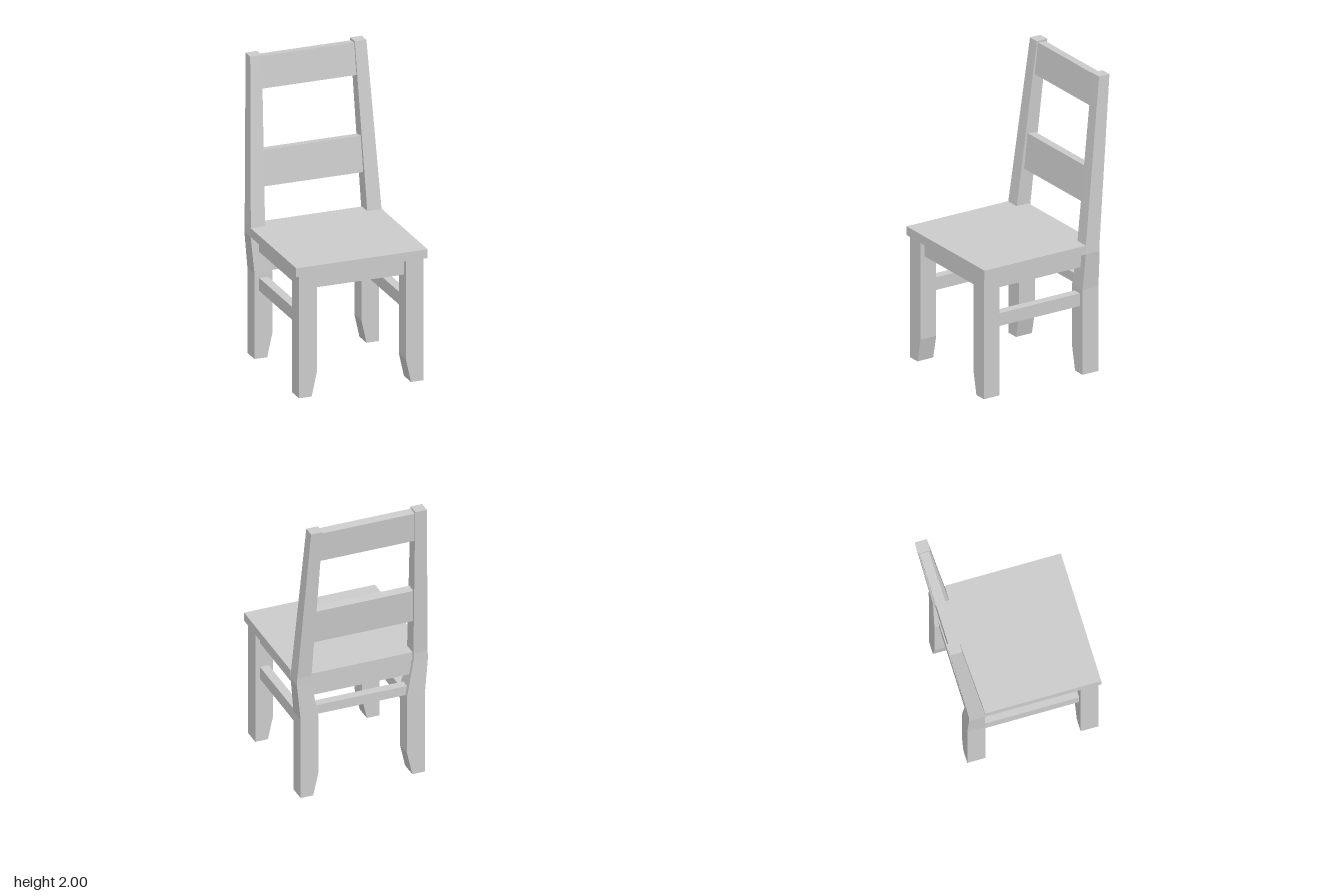
import * as THREE from 'three';

const material = new THREE.MeshStandardMaterial({ color: 0xcccccc, flatShading: true, side: THREE.DoubleSide });

// Four-sided post lofted through sections [y, innerX, outerX, backZ, frontZ]; side is +1 or -1
function postGeometry(sections, side) {
  const corners = sections.map(([y, xi, xo, zb, zf]) => {
    const x0 = side > 0 ? xi : -xo, x1 = side > 0 ? xo : -xi;
    return [[x0, y, zf], [x1, y, zf], [x1, y, zb], [x0, y, zb]];
  });
  const pos = [];
  const quad = (a, b, c, d) => pos.push(...a, ...b, ...c, ...a, ...c, ...d);
  for (let i = 0; i < corners.length - 1; i++) {
    const lo = corners[i], hi = corners[i + 1];
    for (let k = 0; k < 4; k++) {
      const n = (k + 1) % 4;
      quad(lo[k], lo[n], hi[n], hi[k]);
    }
  }
  const [a, b, c, d] = corners[0];
  quad(d, c, b, a);
  quad(...corners[corners.length - 1]);
  const geometry = new THREE.BufferGeometry();
  geometry.setAttribute('position', new THREE.Float32BufferAttribute(pos, 3));
  geometry.computeVertexNormals();
  return geometry;
}

export function createModel() {
  const chair = new THREE.Group();
  chair.name = 'chair';

  const add = (name, geometry) => {
    const mesh = new THREE.Mesh(geometry, material);
    mesh.name = name;
    chair.add(mesh);
    return mesh;
  };
  // Box given by its extents along each axis
  const bar = (name, x0, x1, y0, y1, z0, z1) => {
    const mesh = add(name, new THREE.BoxGeometry(x1 - x0, y1 - y0, z1 - z0));
    mesh.position.set((x0 + x1) / 2, (y0 + y1) / 2, (z0 + z1) / 2);
    return mesh;
  };

  // Seat board, notched around the back posts
  const outline = [[-0.45, -0.49], [0.45, -0.49], [0.45, 0.28], [0.35, 0.28],
    [0.35, 0.37], [-0.35, 0.37], [-0.35, 0.28], [-0.45, 0.28]];
  const shape = new THREE.Shape(outline.map(([x, y]) => new THREE.Vector2(x, y)));
  const seat = add('seat', new THREE.ExtrudeGeometry(shape, { depth: 0.06, bevelEnabled: false }));
  seat.rotation.x = -Math.PI / 2;
  seat.position.y = 0.83;

  // Legs with feet cut back on the inside; back legs run up into leaning posts
  const frontLeg = [
    [0, 0.34, 0.427, 0.36, 0.48],
    [0.16, 0.305, 0.427, 0.36, 0.48],
    [0.83, 0.305, 0.427, 0.36, 0.48],
  ];
  const backLeg = [
    [0, 0.34, 0.427, -0.39, -0.27],
    [0.16, 0.305, 0.427, -0.39, -0.27],
    [0.58, 0.305, 0.427, -0.39, -0.27],
    [0.83, 0.35, 0.45, -0.385, -0.28],
    [0.885, 0.35, 0.448, -0.385, -0.281],
    [2, 0.318, 0.398, -0.493, -0.414],
  ];
  for (const [label, s] of [['left', 1], ['right', -1]]) {
    add(label + 'FrontLeg', postGeometry(frontLeg, s));
    add(label + 'BackLeg', postGeometry(backLeg, s));

    // Side apron and stretcher
    const x0 = s > 0 ? 0.335 : -0.395;
    bar(label + 'Apron', x0, x0 + 0.06, 0.725, 0.83, -0.28, 0.37);
    bar(label + 'Stretcher', x0, x0 + 0.06, 0.46, 0.547, -0.28, 0.37);
  }

  // Front and back cross rails
  bar('frontApron', -0.32, 0.32, 0.725, 0.83, 0.39, 0.45);
  bar('backApron', -0.345, 0.345, 0.725, 0.83, -0.36, -0.3);
  bar('backStretcher', -0.33, 0.33, 0.577, 0.642, -0.36, -0.3);

  // Leaning back slats
  for (const [name, y, z, height, halfWidth] of [
    ['upperSlat', 1.88, -0.442, 0.215, 0.335],
    ['lowerSlat', 1.255, -0.374, 0.24, 0.35],
  ]) {
    const slat = add(name, new THREE.BoxGeometry(halfWidth * 2, height, 0.06));
    slat.position.set(0, y, z);
    slat.rotation.x = -0.1;
  }

  return chair;
}
